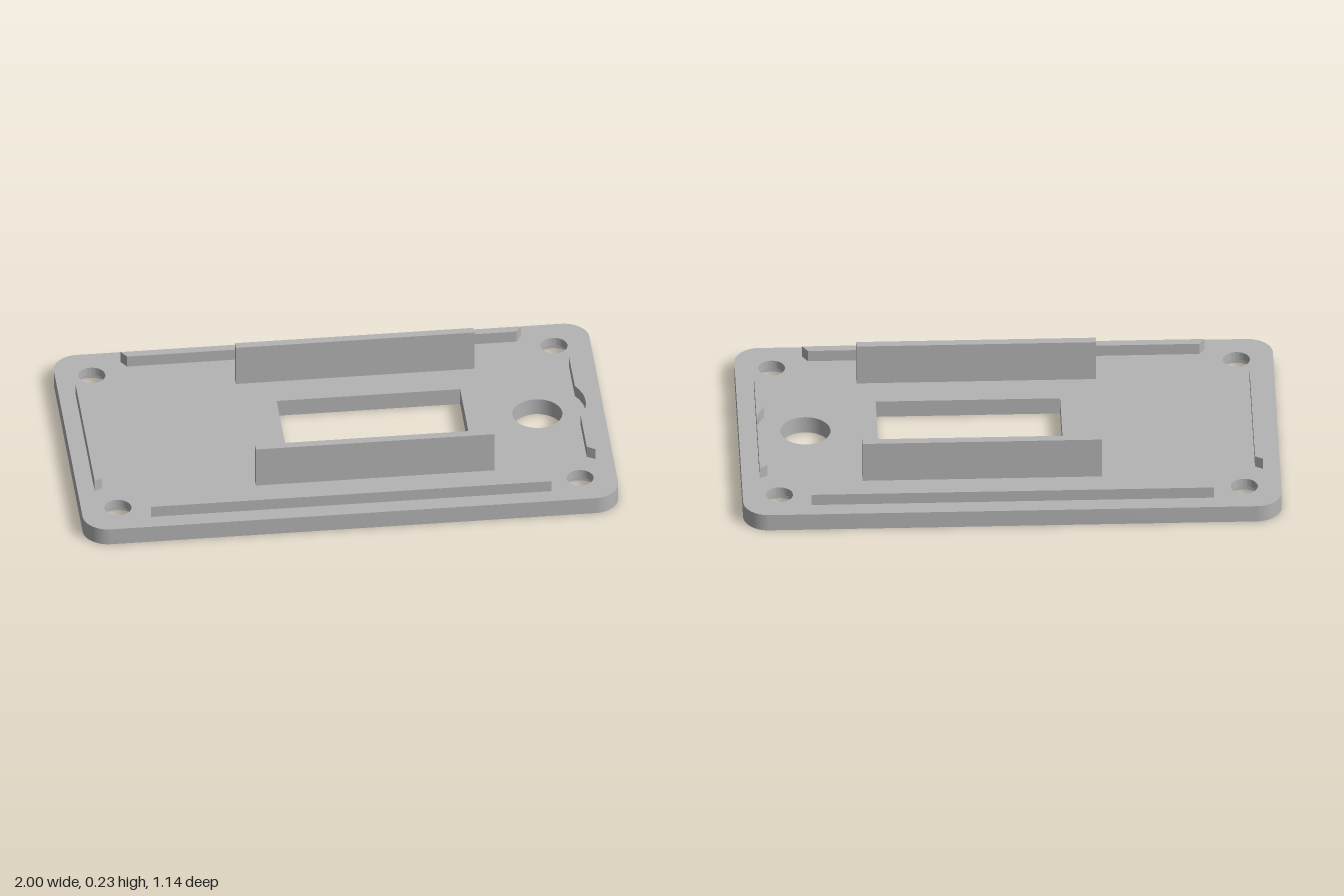
import * as THREE from 'three';
import { mergeGeometries, toCreasedNormals } from 'three/addons/utils/BufferGeometryUtils.js';

const T = 0.067;                 // plate thickness
const RAIL_TOP = 0.112, WALL_TOP = 0.23;
const SCREWS = [[-0.863, -0.432], [0.863, -0.432], [-0.863, 0.432], [0.863, 0.432]];
const SEG = 24;

const circle = (x, y, r) => new THREE.Path().absarc(x, y, r, 0, Math.PI * 2, true);

// Rounded outline with the window and cable hole; screwR adds the corner holes
function plateShape(screwR) {
  const w = 1, d = 0.57, r = 0.095, s = new THREE.Shape();
  s.absarc(w - r, d - r, r, 0, Math.PI / 2);
  s.absarc(-w + r, d - r, r, Math.PI / 2, Math.PI);
  s.absarc(-w + r, -d + r, r, Math.PI, Math.PI * 1.5);
  s.absarc(w - r, -d + r, r, Math.PI * 1.5, Math.PI * 2);
  s.closePath();
  s.holes.push(new THREE.Path([[-0.2, -0.19], [-0.2, 0.19], [0.485, 0.19], [0.485, -0.19]]
    .map(p => new THREE.Vector2(...p))).closePath());
  s.holes.push(circle(0.752, 0, 0.093));
  if (screwR) for (const [x, z] of SCREWS) s.holes.push(circle(x, z, screwR));
  return s;
}

function plateGeometry() {
  // side walls only, taken from a plain extrusion
  const solid = new THREE.ExtrudeGeometry(plateShape(0), { depth: T, bevelEnabled: false, curveSegments: SEG });
  const { start, count } = solid.groups[1];
  const sides = new THREE.BufferGeometry();
  sides.setAttribute('position', new THREE.BufferAttribute(
    solid.attributes.position.array.slice(start * 3, (start + count) * 3), 3));
  sides.rotateX(-Math.PI / 2);
  // top face with narrow holes, underside with wide counterbores
  const top = new THREE.ShapeGeometry(plateShape(0.05), SEG).rotateX(-Math.PI / 2).translate(0, T, 0);
  const bottom = new THREE.ShapeGeometry(plateShape(0.08), SEG).rotateX(Math.PI / 2);
  const parts = [sides, top, bottom];
  // stepped bores
  const profile = [[0.05, T], [0.05, 0.035], [0.08, 0.035], [0.08, 0]].map(p => new THREE.Vector2(...p));
  for (const [x, z] of SCREWS) parts.push(new THREE.LatheGeometry(profile, SEG * 2).translate(x, 0, z));
  return mergeGeometries(parts.map(g => {
    const flat = g.index ? g.toNonIndexed() : g;
    flat.deleteAttribute('uv');
    flat.deleteAttribute('normal');
    flat.computeVertexNormals();
    return toCreasedNormals(flat, 0.5);
  }));
}

// Upright extrusion of a plan outline (plan y points to the back)
function riser(shape, top) {
  const g = new THREE.ExtrudeGeometry(shape, { depth: top - T, bevelEnabled: false, curveSegments: SEG });
  return toCreasedNormals(g.rotateX(-Math.PI / 2).translate(0, T, 0), 0.5);
}
const polygon = pts => new THREE.Shape(pts.map(p => new THREE.Vector2(...p)));

export function createModel() {
  const group = new THREE.Group();
  const grey = new THREE.MeshStandardMaterial({ color: 0xb4b4b4 });
  grey.name = 'grey plastic';
  const add = (name, geometry) => {
    const mesh = new THREE.Mesh(geometry, grey);
    mesh.name = name;
    group.add(mesh);
  };

  add('basePlate', plateGeometry());

  // tall walls beside the window, and long rails with mitred ends
  for (const [side, s] of [['front', 1], ['back', -1]]) {
    add(side + 'Wall', new THREE.BoxGeometry(0.89, WALL_TOP - T, 0.031)
      .translate(0.107, (WALL_TOP + T) / 2, s * 0.332));
    add(side + 'Rail', riser(polygon([[-0.747, -s * 0.506], [0.747, -s * 0.506],
      [0.727, -s * 0.474], [-0.727, -s * 0.474]]), RAIL_TOP));
  }

  // short end rails; the left one is scooped around the cable hole
  add('rightRail', riser(polygon([[-0.937, -0.317], [-0.907, -0.299], [-0.907, 0.299], [-0.937, 0.317]]), RAIL_TOP));
  const r = 0.18, a = Math.acos((0.903 - 0.752) / r);
  const scooped = polygon([[0.903, 0.299], [0.933, 0.317], [0.933, -0.317], [0.903, -0.299]]);
  scooped.absarc(0.752, 0, r, -a, a, false);
  scooped.closePath();
  add('leftRail', riser(scooped, RAIL_TOP));

  return group;
}
